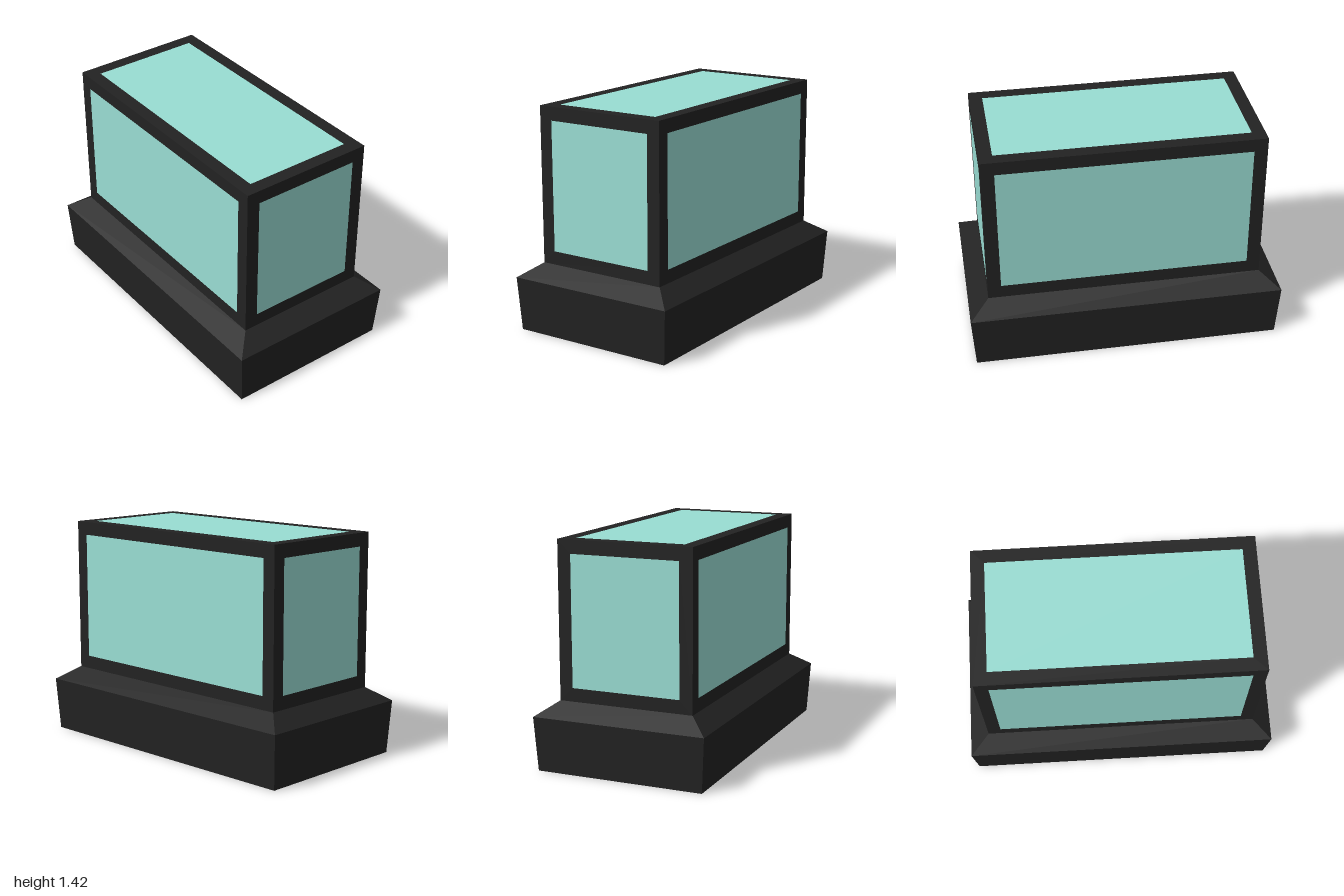
import * as THREE from 'three';

const W = 0.875, D = 0.437, Y0 = 0.43, Y1 = 1.42, BORDER = 0.085;

const frameMaterial = new THREE.MeshStandardMaterial({ color: 0x222222, side: THREE.DoubleSide });
const glassMaterial = new THREE.MeshStandardMaterial({ color: 0x99ddd3, side: THREE.DoubleSide });

function rectangle(Type, w, h) {
  return new Type([
    new THREE.Vector2(-w / 2, -h / 2), new THREE.Vector2(w / 2, -h / 2),
    new THREE.Vector2(w / 2, h / 2), new THREE.Vector2(-w / 2, h / 2),
  ]);
}

// One flat wall of the case: a border with a flush glass pane, facing +z
function createWall(name, w, h) {
  const wall = new THREE.Group();
  wall.name = name;
  const paneW = w - 2 * BORDER, paneH = h - 2 * BORDER;
  const outline = rectangle(THREE.Shape, w, h);
  outline.holes.push(rectangle(THREE.Path, paneW, paneH));
  const frame = new THREE.Mesh(new THREE.ShapeGeometry(outline), frameMaterial);
  frame.name = name + 'Frame';
  const glass = new THREE.Mesh(new THREE.PlaneGeometry(paneW, paneH), glassMaterial);
  glass.name = name + 'Glass';
  wall.add(frame, glass);
  return wall;
}

// Plinth: a box with three rows of corners, flaring out and then sloping in
function createPlinth() {
  const rows = [[0.98, 0, 0.54], [1, 0.343, 0.56], [W, Y0, D]];
  const box = new THREE.BoxGeometry(2, 2, 2, 1, 2, 1);
  const p = box.attributes.position;
  for (let i = 0; i < p.count; i++) {
    const [x, y, z] = rows[Math.round(p.getY(i)) + 1];
    p.setXYZ(i, Math.sign(p.getX(i)) * x, y, Math.sign(p.getZ(i)) * z);
  }
  const geometry = box.toNonIndexed();
  geometry.computeVertexNormals();
  const plinth = new THREE.Mesh(geometry, frameMaterial);
  plinth.name = 'plinth';
  return plinth;
}

export function createModel() {
  const model = new THREE.Group();
  model.name = 'displayCase';
  model.add(createPlinth());

  // Four upright walls
  const height = Y1 - Y0;
  ['front', 'left', 'back', 'right'].forEach((name, i) => {
    const angle = i * Math.PI / 2;
    const wall = createWall(name, i % 2 ? 2 * D : 2 * W, height);
    const reach = i % 2 ? W : D;
    wall.rotation.y = angle;
    wall.position.set(Math.sin(angle) * reach, (Y0 + Y1) / 2, Math.cos(angle) * reach);
    model.add(wall);
  });

  // Glazed lid
  const lid = createWall('lid', 2 * W, 2 * D);
  lid.rotation.x = -Math.PI / 2;
  lid.position.y = Y1;
  model.add(lid);
  return model;
}
